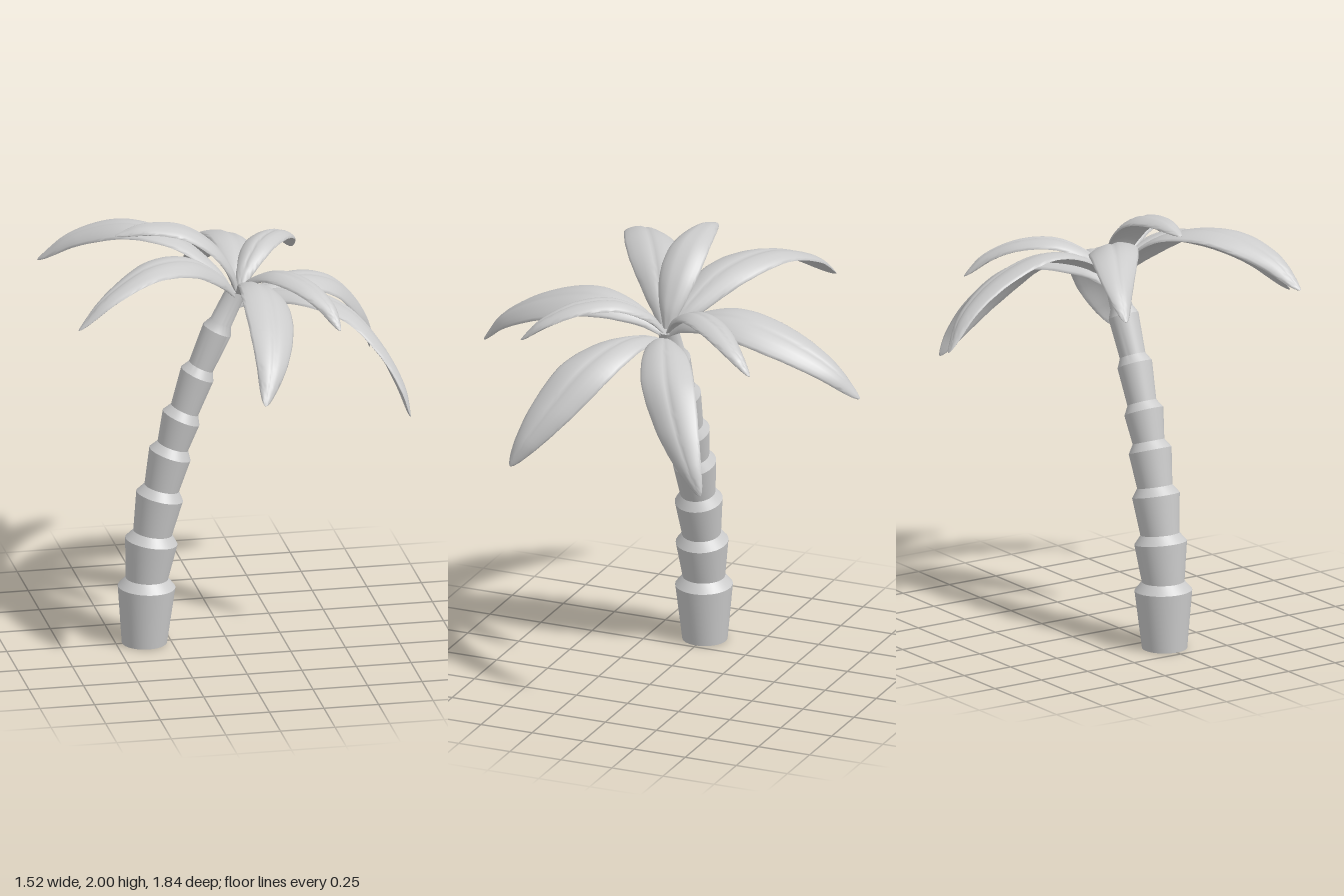
import * as THREE from 'three';
import { toCreasedNormals } from 'three/addons/utils/BufferGeometryUtils.js';

const material = new THREE.MeshStandardMaterial({ color: 0xcccccc, side: THREE.DoubleSide });
const UP = new THREE.Vector3(0, 1, 0);

// Skin equal-sized closed cross-sections; each end is closed by a fan.
function loft(rings, crease) {
  const n = rings[0].length, pos = [], index = [];
  rings.forEach(r => r.forEach(p => pos.push(p.x, p.y, p.z)));
  for (let i = 0; i < rings.length - 1; i++) {
    for (let j = 0; j < n; j++) {
      const a = i * n + j, b = i * n + (j + 1) % n;
      index.push(a, b, a + n, b, b + n, a + n);
    }
  }
  [0, rings.length - 1].forEach((row, end) => {
    const c = new THREE.Vector3();
    rings[row].forEach(p => c.addScaledVector(p, 1 / n));
    const ci = pos.push(c.x, c.y, c.z) / 3 - 1;
    for (let j = 0; j < n; j++) {
      const a = row * n + j, b = row * n + (j + 1) % n;
      index.push(...(end ? [ci, a, b] : [ci, b, a]));
    }
  });
  const g = new THREE.BufferGeometry();
  g.setAttribute('position', new THREE.Float32BufferAttribute(pos, 3));
  g.setIndex(index);
  return toCreasedNormals(g, crease);
}

// Linear lookup in a list of [t, value].
function lookup(table, t) {
  const k = Math.max(1, table.findIndex(e => e[0] >= t));
  const [t0, v0] = table[k - 1], [t1, v1] = table[k];
  return v0 + (v1 - v0) * (t - t0) / (t1 - t0);
}

// Trunk: flared collars on a leaning, curving axis [x, y, radius, lean].
function makeTrunk() {
  const collars = [
    [-0.36, 0.267, 0.13, 0.04], [-0.338, 0.483, 0.119, 0.15], [-0.3, 0.695, 0.108, 0.24],
    [-0.253, 0.893, 0.098, 0.34], [-0.202, 1.063, 0.09, 0.42], [-0.128, 1.265, 0.08, 0.45],
    [-0.037, 1.47, 0.069, 0.45]
  ];
  const ring = (x, y, r, lean) => Array.from({ length: 32 }, (_, j) => {
    const a = -j / 32 * Math.PI * 2;
    const c = Math.cos(a) * r;
    return new THREE.Vector3(x + c * Math.cos(lean), y - c * Math.sin(lean), Math.sin(a) * r);
  });
  const rings = [ring(-0.37, 0, 0.102, 0)];
  for (const [x, y, r, lean] of collars) {
    rings.push(ring(x, y, r, lean));
    // Bevel stepping in to the narrow foot of the next section
    const up = 0.04;
    rings.push(ring(x + Math.sin(lean) * up, y + Math.cos(lean) * up, r * 0.74, lean));
  }
  rings.push(ring(0.05, 1.65, 0.046, 0.4));
  const mesh = new THREE.Mesh(loft(rings, 0.45), material);
  mesh.name = 'trunk';
  return mesh;
}

// Frond outline: share of the half width along its length.
const OUTLINE = [[0, 0.16], [0.08, 0.34], [0.2, 0.67], [0.32, 0.9], [0.43, 1], [0.55, 0.99],
  [0.68, 0.86], [0.8, 0.66], [0.9, 0.43], [0.96, 0.25], [0.99, 0.12], [1, 0.03]];

// Frond: arched blade with a shallow central groove, thin at its edges.
function makeFrond({ name, path, halfWidth, side }, mirror) {
  const curve = new THREE.CatmullRomCurve3(
    path.map(([x, y, z]) => new THREE.Vector3(x, y, z * mirror)), false, 'centripetal');
  const across = [-1, -0.93, -0.75, -0.5, -0.25, -0.09, 0, 0.09, 0.25, 0.5, 0.75, 0.93, 1];
  const rings = [];
  const steps = 40;
  for (let i = 0; i <= steps; i++) {
    const t = 1 - Math.pow(1 - i / steps, 1.3);
    const p = curve.getPointAt(t), T = curve.getTangentAt(t);
    const natural = T.clone().cross(UP);
    const S = side ? new THREE.Vector3(...side) : natural.clone();
    S.addScaledVector(T, -S.dot(T)).normalize();
    if (S.dot(natural) < 0) S.negate();
    const N = S.clone().cross(T);
    const w = halfWidth * lookup(OUTLINE, t);
    const thick = 0.016 * Math.min(1, w / (halfWidth * 0.5));
    const point = (u, face) => {
      const groove = Math.abs(u) < 0.2 ? 0.007 * (1 - Math.abs(u) / 0.2) * w / halfWidth : 0;
      const h = -0.22 * w * u * u + face * thick * Math.sqrt(1.03 - u * u)
        - (face > 0 ? groove : 0);
      return p.clone().addScaledVector(S, u * w).addScaledVector(N, h);
    };
    rings.push([...across.map(u => point(u, 1)), ...across.map(u => point(-u, -1))]);
  }
  const mesh = new THREE.Mesh(loft(rings, 0.9), material);
  mesh.name = name;
  return mesh;
}

// Centre lines run from the crown to the tip; side is the blade's width direction.
const FRONDS = [
  { name: 'sideFrond', halfWidth: 0.115, side: [1, -0.33, 0],
    path: [[0.06, 1.62, 0], [0.09, 1.715, 0.13], [0.11, 1.765, 0.33], [0.1, 1.71, 0.57],
      [0.06, 1.59, 0.78], [0, 1.435, 0.92]] },
  { name: 'rearFrond', halfWidth: 0.112, side: [0, 0, 1],
    path: [[0.06, 1.61, 0], [-0.04, 1.74, 0.07], [-0.2, 1.86, 0.17], [-0.4, 1.892, 0.29],
      [-0.6, 1.82, 0.4], [-0.765, 1.69, 0.47]] },
  { name: 'smallFrond', halfWidth: 0.075,
    path: [[0.06, 1.62, 0], [0.1, 1.71, 0.07], [0.19, 1.79, 0.2], [0.29, 1.785, 0.34],
      [0.37, 1.725, 0.46], [0.415, 1.635, 0.56]] },
  { name: 'droopingFrond', halfWidth: 0.118, side: [0, 0, 1],
    path: [[0.06, 1.58, 0], [0.17, 1.635, 0.035], [0.34, 1.655, 0.11], [0.52, 1.59, 0.2],
      [0.66, 1.43, 0.31], [0.73, 1.28, 0.4], [0.755, 1.165, 0.465]] }
];
const TOP_FROND = { name: 'topFrond', halfWidth: 0.095, side: [0, 0, 1],
  path: [[0.06, 1.62, 0], [0.02, 1.75, 0], [-0.06, 1.87, 0], [-0.19, 1.96, 0],
    [-0.35, 1.983, 0], [-0.505, 1.955, 0]] };

export function createModel() {
  const model = new THREE.Group();
  model.name = 'palmTree';
  model.add(makeTrunk());

  const crown = new THREE.Group();
  crown.name = 'crown';
  for (const frond of FRONDS) {
    for (const mirror of [1, -1]) crown.add(makeFrond(frond, mirror));
  }
  crown.add(makeFrond(TOP_FROND, 1));
  model.add(crown);
  return model;
}
